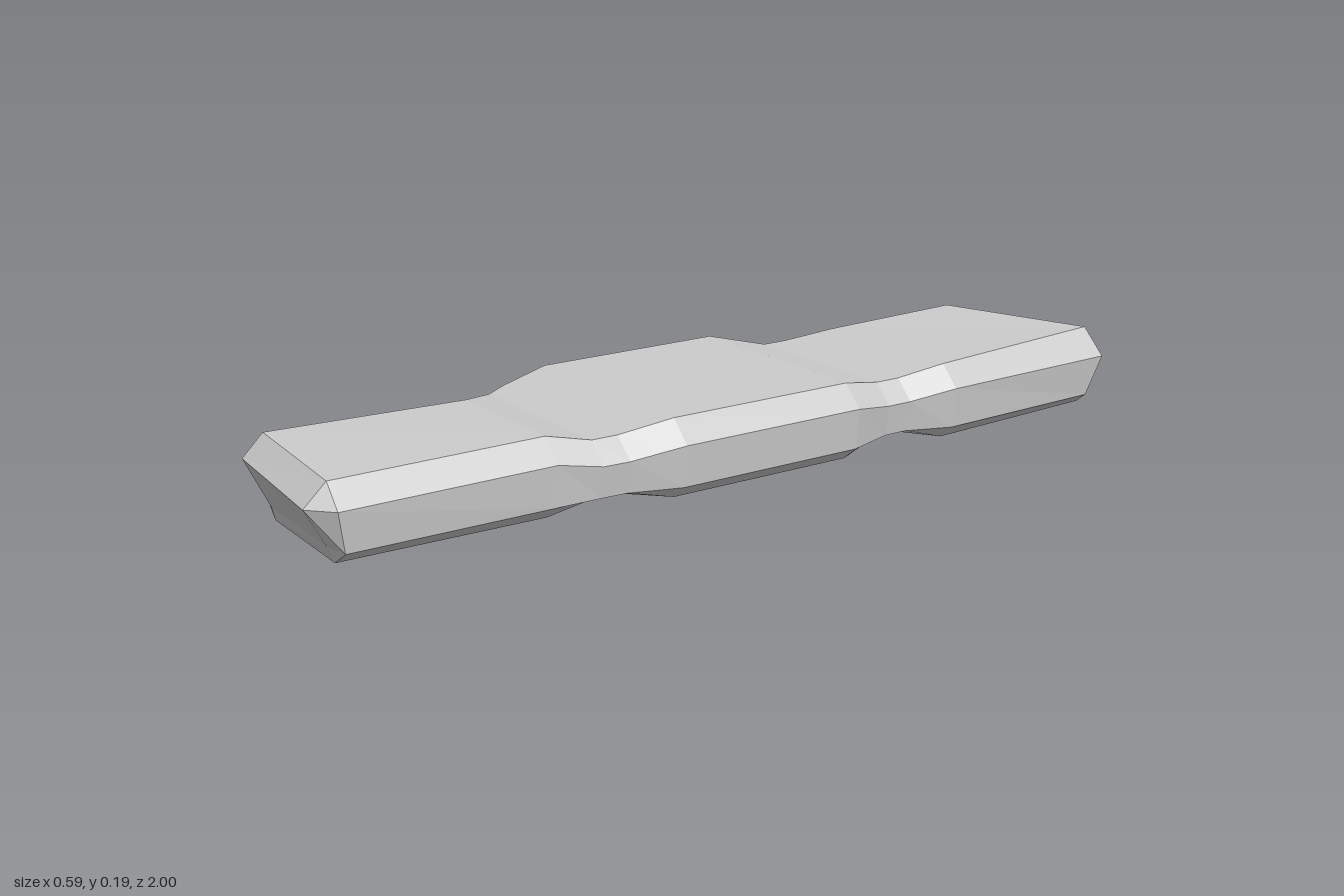
import * as THREE from 'three';

// Eight-cornered outline, counter-clockwise from the lower left-hand (+x) corner.
// x: [outer -x, inner -x, inner +x, outer +x], y: [bottom, lower, upper, top]
function section(z, x, y) {
  const [a, b, c, d] = x;
  const [bottom, lower, upper, top] = y;
  return [
    [d - 0.01, lower, z], [d, upper, z], [c, top, z], [b, top, z],
    [a, upper, z], [a + 0.01, lower, z], [b, bottom, z], [c, bottom, z],
  ];
}

// End face: the chamfers close onto four corners.
function endFace(lowPlus, highPlus, highMinus, lowMinus) {
  return [lowPlus, highPlus, highPlus, highMinus, highMinus, lowMinus, lowMinus, lowPlus];
}

function loft(rings) {
  const pos = [];
  const same = (p, q) => p.every((v, i) => v === q[i]);
  const tri = (p, q, r) => {
    if (!same(p, q) && !same(q, r) && !same(p, r)) pos.push(...p, ...q, ...r);
  };
  for (let k = 0; k < rings.length - 1; k++) {
    const A = rings[k], B = rings[k + 1];
    for (let i = 0; i < 8; i++) {
      const j = (i + 1) % 8;
      tri(A[i], A[j], B[j]);
      tri(A[i], B[j], B[i]);
    }
  }
  const F = rings[rings.length - 1], K = rings[0];
  tri(F[0], F[1], F[4]);
  tri(F[0], F[4], F[5]);
  tri(K[0], K[4], K[1]);
  tri(K[0], K[5], K[4]);
  const geometry = new THREE.BufferGeometry();
  geometry.setAttribute('position', new THREE.Float32BufferAttribute(pos, 3));
  geometry.computeVertexNormals();
  return geometry;
}

export function createModel() {
  const group = new THREE.Group();
  group.name = 'plank';
  const full = [0.007, 0.037, 0.127, 0.174];
  const neck = [0.032, 0.042, 0.11, 0.154];

  const rings = [
    // slanted back end
    endFace([0.215, 0.04, -0.955], [0.22, 0.128, -1], [-0.145, 0.132, -0.875], [-0.135, 0.035, -0.835]),
    [
      [0.265, 0.037, -0.94], [0.278, 0.127, -0.975], [0.225, 0.187, -0.968], [-0.113, 0.19, -0.845],
      [-0.157, 0.135, -0.86], [-0.145, 0.035, -0.825], [-0.105, 0.002, -0.84], [0.215, 0.006, -0.965],
    ],
    // back blade, neck, wide middle, neck, front blade
    section(-0.51, [-0.187, -0.14, 0.245, 0.29], full),
    section(-0.40, [-0.222, -0.177, 0.223, 0.265], neck),
    section(-0.34, [-0.222, -0.177, 0.223, 0.265], neck),
    section(-0.235, [-0.295, -0.248, 0.244, 0.291], full),
    section(0.21, [-0.295, -0.248, 0.244, 0.291], full),
    section(0.33, [-0.27, -0.222, 0.222, 0.267], neck),
    section(0.39, [-0.225, -0.18, 0.221, 0.264], neck),
    section(0.485, [-0.16, -0.11, 0.202, 0.25], full),
    // front end
    [
      [0.237, 0.037, 0.935], [0.25, 0.125, 0.952], [0.203, 0.172, 0.95], [-0.118, 0.181, 0.93],
      [-0.167, 0.135, 0.932], [-0.153, 0.037, 0.915], [-0.105, 0.002, 0.92], [0.19, 0.006, 0.935],
    ],
    endFace([0.182, 0.036, 0.945], [0.2, 0.125, 0.998], [-0.12, 0.135, 0.975], [-0.108, 0.028, 0.925]),
  ];

  const material = new THREE.MeshStandardMaterial({ color: 0xcccccc, flatShading: true });
  const board = new THREE.Mesh(loft(rings), material);
  board.name = 'chamferedBoard';
  group.add(board);
  return group;
}
